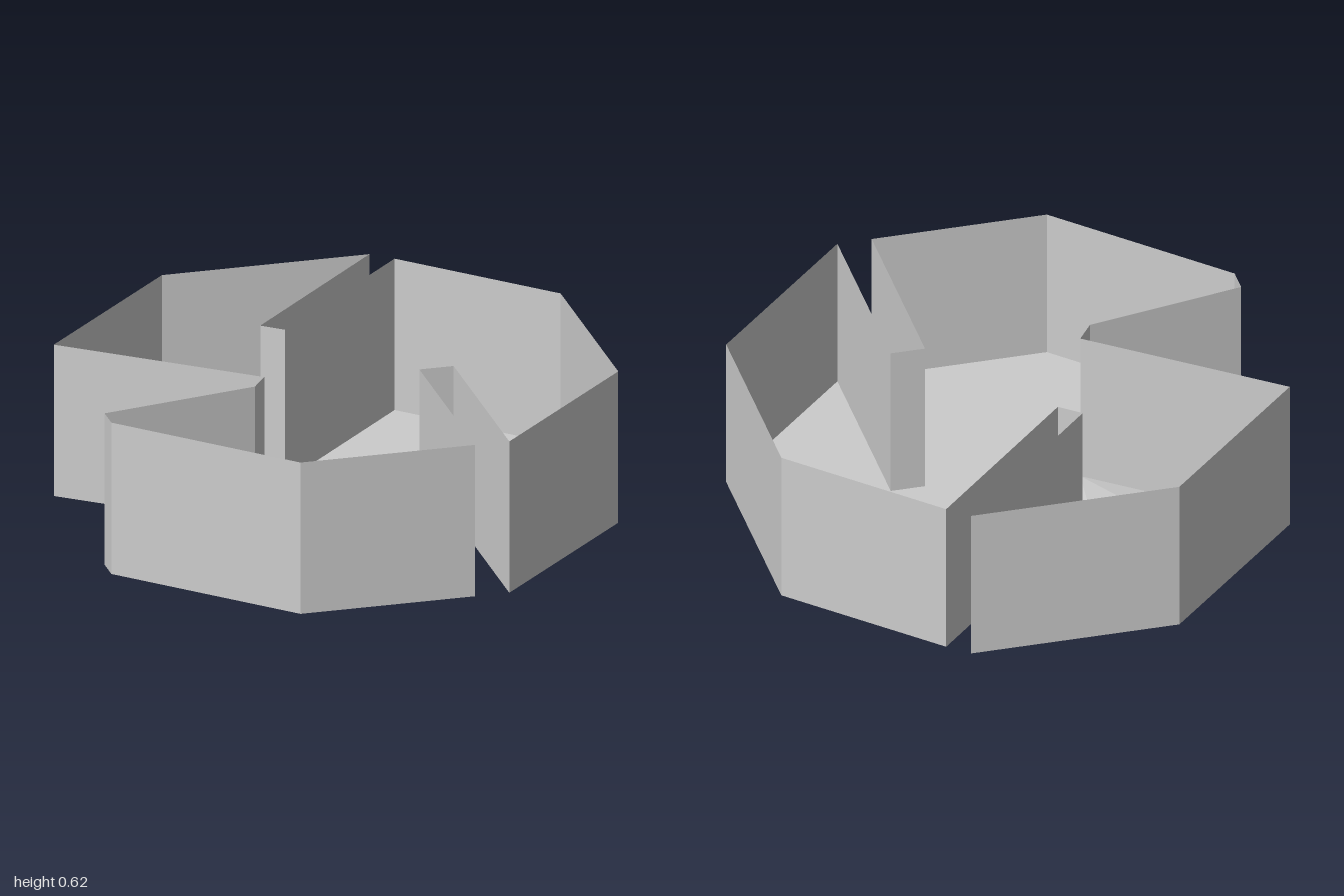
import * as THREE from 'three';

const HEIGHT = 0.62;

// Plan of the octagon with its three slots, as [x, z]
const OUTLINE = [
  [-0.414, -1], [0.405, -1], [-0.19, -0.4], [-0.11, -0.333], [0.485, -0.93],
  [1, -0.418], [1, 0.414], [0.41, 1], [0.41, 0.195], [0.275, 0.195], [0.275, 1],
  [-0.414, 1], [-1, 0.414], [-1, 0.315], [-0.375, 0.2], [-0.315, 0.115], [-1, -0.418],
];

// Crumpled floor panel: rim points, then raised points, as [x, y, z]
const CRUMPLE_POINTS = [
  [-0.414, 0, -1], [-0.02, 0, -1], [0.405, 0, -1], [0.1175, 0, -0.71],
  [-0.19, 0, -0.4], [-0.315, 0, 0.115], [-0.65, 0, -0.146], [-1, 0, -0.418],
  [-0.65, 0.05, -0.41], [-0.33, 0.045, -0.93], [-0.16, 0.035, -0.93],
  [-0.62, 0.055, -0.57], [-0.36, 0.04, -0.57], [-0.05, 0.02, -0.56],
  [-0.27, 0.02, -0.27], [-0.5, 0.03, -0.26],
];
const CRUMPLE_FACES = [
  [7, 11, 0], [0, 11, 9], [7, 8, 11], [0, 9, 1], [9, 10, 1], [1, 10, 2], [10, 3, 2],
  [10, 13, 3], [10, 12, 13], [9, 12, 10], [9, 11, 12], [11, 8, 12], [8, 14, 12],
  [12, 14, 13], [13, 14, 4], [13, 4, 3], [14, 5, 4], [14, 15, 5], [15, 6, 5],
  [7, 6, 15], [7, 15, 8], [8, 15, 14],
];

// Flat-faced geometry from a list of triangle corners
function facets(corners) {
  const geometry = new THREE.BufferGeometry();
  geometry.setAttribute('position', new THREE.Float32BufferAttribute(corners.flat(), 3));
  geometry.computeVertexNormals();
  return geometry;
}

export function createModel() {
  const group = new THREE.Group();
  group.name = 'slottedOctagonTray';

  const material = new THREE.MeshStandardMaterial({
    color: 0xcccccc, side: THREE.DoubleSide, flatShading: true,
  });
  material.name = 'plain grey';

  const add = (name, geometry) => {
    const mesh = new THREE.Mesh(geometry, material);
    mesh.name = name;
    group.add(mesh);
  };

  // Thin walls around the octagon and along both sides of every slot
  const corners = [];
  OUTLINE.forEach(([x1, z1], i) => {
    const [x2, z2] = OUTLINE[(i + 1) % OUTLINE.length];
    const a = [x1, 0, z1], b = [x2, 0, z2], c = [x2, HEIGHT, z2], d = [x1, HEIGHT, z1];
    corners.push(b, a, d, b, d, c);
  });
  add('walls', facets(corners));

  // Flat floor, everything but the back sector
  const shape = new THREE.Shape(OUTLINE.slice(2, 16).map(([x, z]) => new THREE.Vector2(x, -z)));
  add('floor', new THREE.ShapeGeometry(shape).rotateX(-Math.PI / 2));

  // Uneven floor of the back sector
  add('crumpledFloor', facets(CRUMPLE_FACES.flat().map((i) => CRUMPLE_POINTS[i])));

  return group;
}
